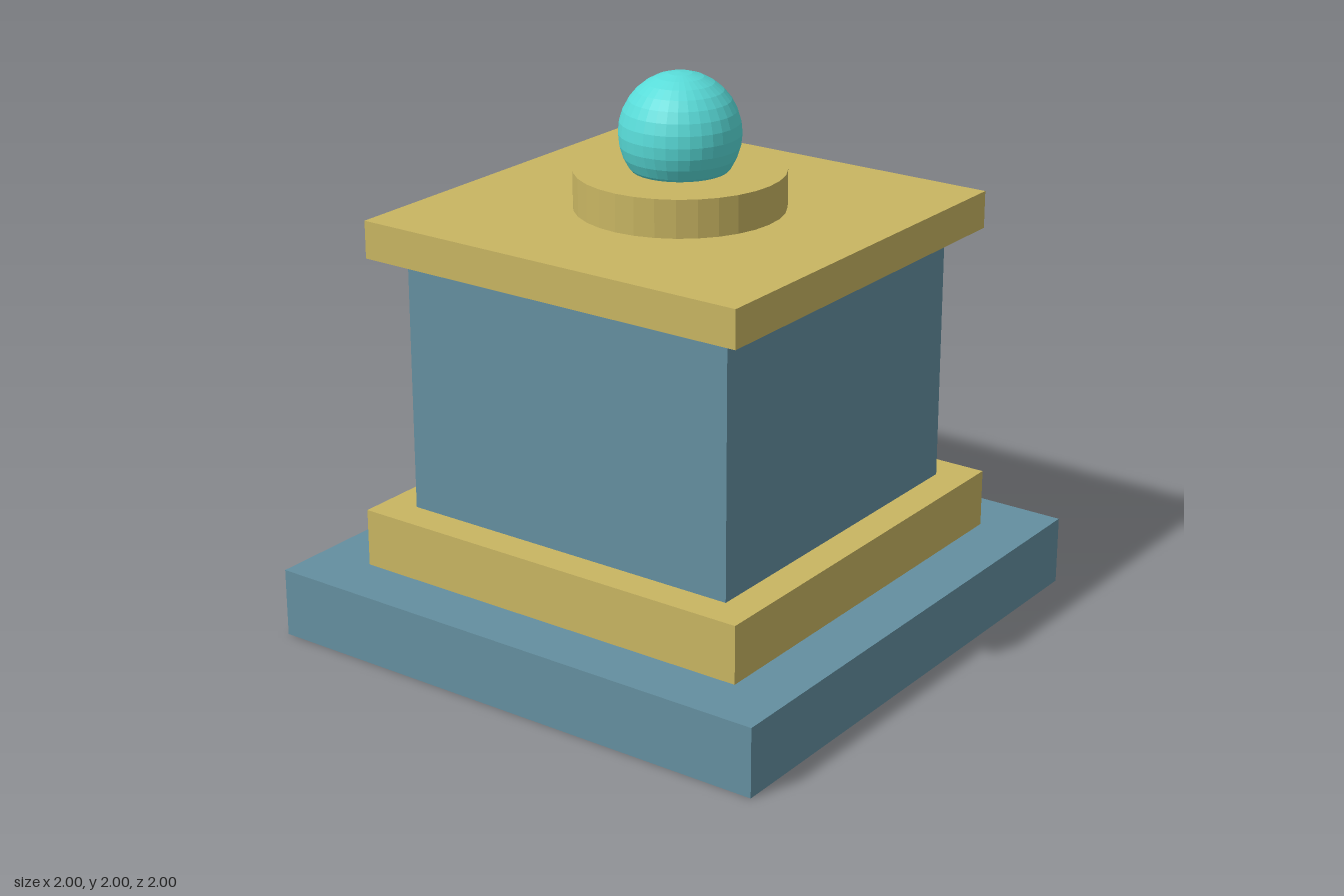
import * as THREE from 'three';

export function createModel() {
  const model = new THREE.Group();
  model.name = 'pedestal';

  const material = (name, color) => {
    const m = new THREE.MeshStandardMaterial({ color, flatShading: true });
    m.name = name;
    return m;
  };
  const slate = material('slate blue', 0x648fa0);
  const gold = material('dull gold', 0xc8b562);
  const teal = material('bright teal', 0x58dbd8);

  const add = (name, geometry, mat, x, y, z) => {
    const mesh = new THREE.Mesh(geometry, mat);
    mesh.name = name;
    mesh.position.set(x, y, z);
    model.add(mesh);
  };

  // Square tiers: name, material, width, bottom, top
  const tiers = [
    ['base', slate, 1.995, 0, 0.25],
    ['lowerTrim', gold, 1.575, 0.25, 0.46],
    ['body', slate, 1.33, 0.46, 1.39],
    ['topSlab', gold, 1.53, 1.39, 1.525],
  ];
  for (const [name, mat, w, y0, y1] of tiers) {
    add(name, new THREE.BoxGeometry(w, y1 - y0, w), mat, 0, (y0 + y1) / 2, 0);
  }

  // Round collar with the orb resting in it
  add('collar', new THREE.CylinderGeometry(0.37, 0.37, 0.135, 32), gold, 0, 1.5925, 0);
  add('orb', new THREE.SphereGeometry(0.213, 32, 16), teal, 0, 1.787, 0);

  // Rods half sunk into the back wall: name, x, radius, bottom, top
  const rods = [
    ['middleRod', 0, 0.031, 0.71, 1.205],
    ['leftRod', 0.1, 0.025, 0.895, 1.19],
    ['rightRod', -0.1, 0.025, 0.895, 1.19],
  ];
  for (const [name, x, r, y0, y1] of rods) {
    add(name, new THREE.CylinderGeometry(r, r, y1 - y0, 12), teal, x, (y0 + y1) / 2, -0.665);
  }

  return model;
}
